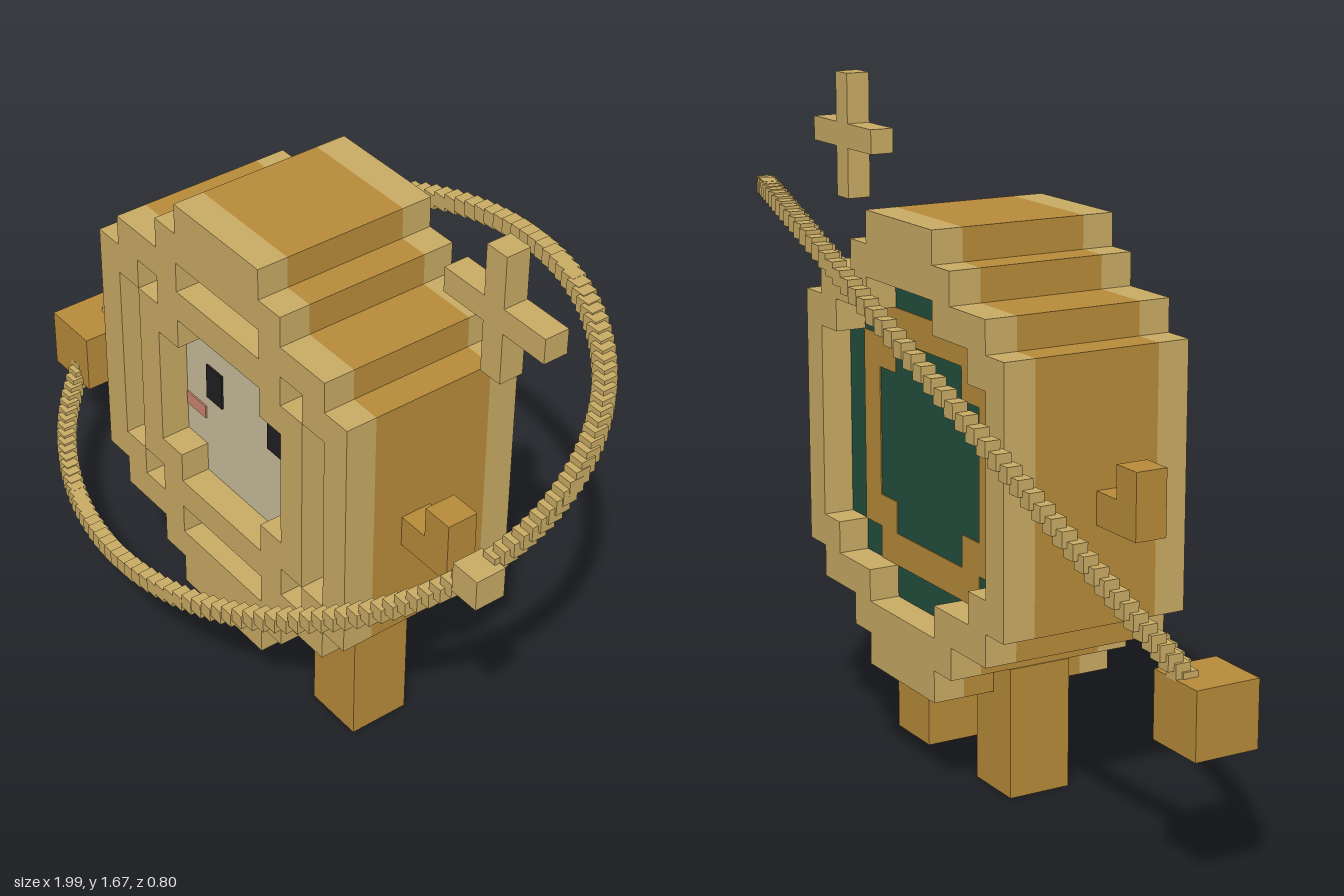
import * as THREE from 'three';

const U = 0.0823;            // block size
const CX = 0.0275, CY = 0.827; // body centre
const CORE = 2 * U;          // half depth of the body core

const mat = (name, color) => {
  const m = new THREE.MeshStandardMaterial({ color });
  m.name = name;
  return m;
};

// Stepped outlines as [half width, up to height] in blocks, mirrored into four quadrants
const BODY = [[6, 4], [5, 5], [3, 6], [2, 7]];
const OPENING = [[5, 3], [4, 4], [2, 5]];
const PANEL = [[4, 3], [3, 4]];
const FACE = [[3, 2], [2, 3]];

function outline(steps) {
  const q = [];
  steps.forEach(([w, h], i) => {
    if (i) q.push([w, steps[i - 1][1]]);
    q.push([w, h]);
  });
  const r = [...q].reverse();
  return [
    ...q,
    ...r.map(([x, y]) => [-x, y]),
    ...q.map(([x, y]) => [-x, -y]),
    ...r.map(([x, y]) => [x, -y]),
  ].map(([x, y]) => new THREE.Vector2(x * U, y * U));
}

export function createModel() {
  const model = new THREE.Group();
  const light = mat('light gold', 0xc9ab64);
  const gold = mat('dark gold', 0xb88b3a);
  const green = mat('deep green', 0x234f3e);
  const cream = mat('cream', 0xc8bd9b);
  const black = mat('black', 0x1f1f22);
  const pink = mat('blush pink', 0xcd8572);

  const add = (name, geometry, material, x, y, z) => {
    const mesh = new THREE.Mesh(geometry, material);
    mesh.name = name;
    mesh.position.set(x, y, z);
    model.add(mesh);
    return mesh;
  };
  // Box from its minimum and maximum corners
  const box = (name, material, [x0, y0, z0], [x1, y1, z1]) =>
    add(name, new THREE.BoxGeometry(x1 - x0, y1 - y0, z1 - z0), material,
      (x0 + x1) / 2, (y0 + y1) / 2, (z0 + z1) / 2);
  // Stepped slab, optionally with a stepped hole, from z0 to z1
  const slab = (name, material, steps, hole, z0, z1) => {
    const shape = new THREE.Shape(outline(steps));
    if (hole) shape.holes.push(new THREE.Path(outline(hole)));
    const geometry = new THREE.ExtrudeGeometry(shape, { depth: z1 - z0, bevelEnabled: false });
    return add(name, geometry, material, CX, CY, z0);
  };

  // Body core with raised frames front and back
  slab('bodyCore', gold, BODY, null, -CORE, CORE);
  slab('frontFrame', light, BODY, OPENING, CORE, CORE + U);
  slab('backFrame', light, BODY, OPENING, -CORE - U, -CORE);

  // Front: green inlay, face surround and face
  slab('frontInlay', green, OPENING, null, CORE, CORE + 0.002);
  slab('faceSurround', light, PANEL, FACE, CORE, CORE + U);
  slab('face', cream, FACE, null, CORE, CORE + 0.004);

  // Back: green inlay with a gold band
  slab('backInlay', green, OPENING, null, -CORE - 0.002, -CORE);
  slab('backBand', gold, PANEL, FACE, -CORE - 0.005, -CORE);

  for (const side of [-1, 1]) {
    const label = side < 0 ? 'right' : 'left';
    const span = (a, b) => [CX + side * a, CX + side * b].sort((p, q) => p - q);

    // Eyes and cheeks
    const [e0, e1] = span(0.093, 0.157);
    box(label + 'Eye', black, [e0, 0.815, CORE], [e1, 0.914, CORE + 0.009]);
    const [c0, c1] = span(2 * U, 3 * U - 0.003);
    box(label + 'Cheek', pink, [c0, 0.743, CORE], [c1, 0.78, CORE + 0.008]);

    // Bent arms
    const [a0, a1] = span(6 * U, 8 * U);
    box(label + 'Arm', gold, [a0, CY - U, 0], [a1, CY, U]);
    const [h0, h1] = span(7 * U, 8 * U);
    box(label + 'Hand', gold, [h0, CY, 0], [h1, CY + U, U]);

    // Legs
    const [l0, l1] = side < 0 ? span(U, 3 * U) : span(2 * U, 4 * U);
    box(label + 'Leg', gold, [l0, 0, -U], [l1, 0.332, U]);
  }

  // Tilted orbit made of small blocks
  const orbit = new THREE.Group();
  orbit.name = 'orbitRing';
  const bead = new THREE.BoxGeometry(0.039, 0.039, 0.039);
  const COUNT = 150;
  for (let i = 0; i < COUNT; i++) {
    const t = (i / COUNT) * Math.PI * 2;
    const c = Math.cos(t), s = Math.sin(t);
    const block = new THREE.Mesh(bead, light);
    block.name = 'orbitBlock';
    block.position.set(0.03 + 0.945 * c, 0.828 + 0.365 * c - 0.44 * s, 0.38 * s);
    orbit.add(block);
  }
  model.add(orbit);

  // Moons on the orbit
  add('largeMoon', new THREE.BoxGeometry(2 * U, 2 * U, 2 * U), gold, -0.918, 0.443, 0);
  add('smallMoon', new THREE.BoxGeometry(0.08, 0.08, 0.08), light, 0.908, 0.968, 0.185);

  // Plus-shaped star
  const R = 0.032;
  box('starPost', light, [0.737 - R, 1.34, -R], [0.737 + R, 1.667, R]);
  box('starArmRight', light, [0.574, 1.504 - R, -R], [0.737 - R, 1.504 + R, R]);
  box('starArmLeft', light, [0.737 + R, 1.504 - R, -R], [0.9, 1.504 + R, R]);

  return model;
}
